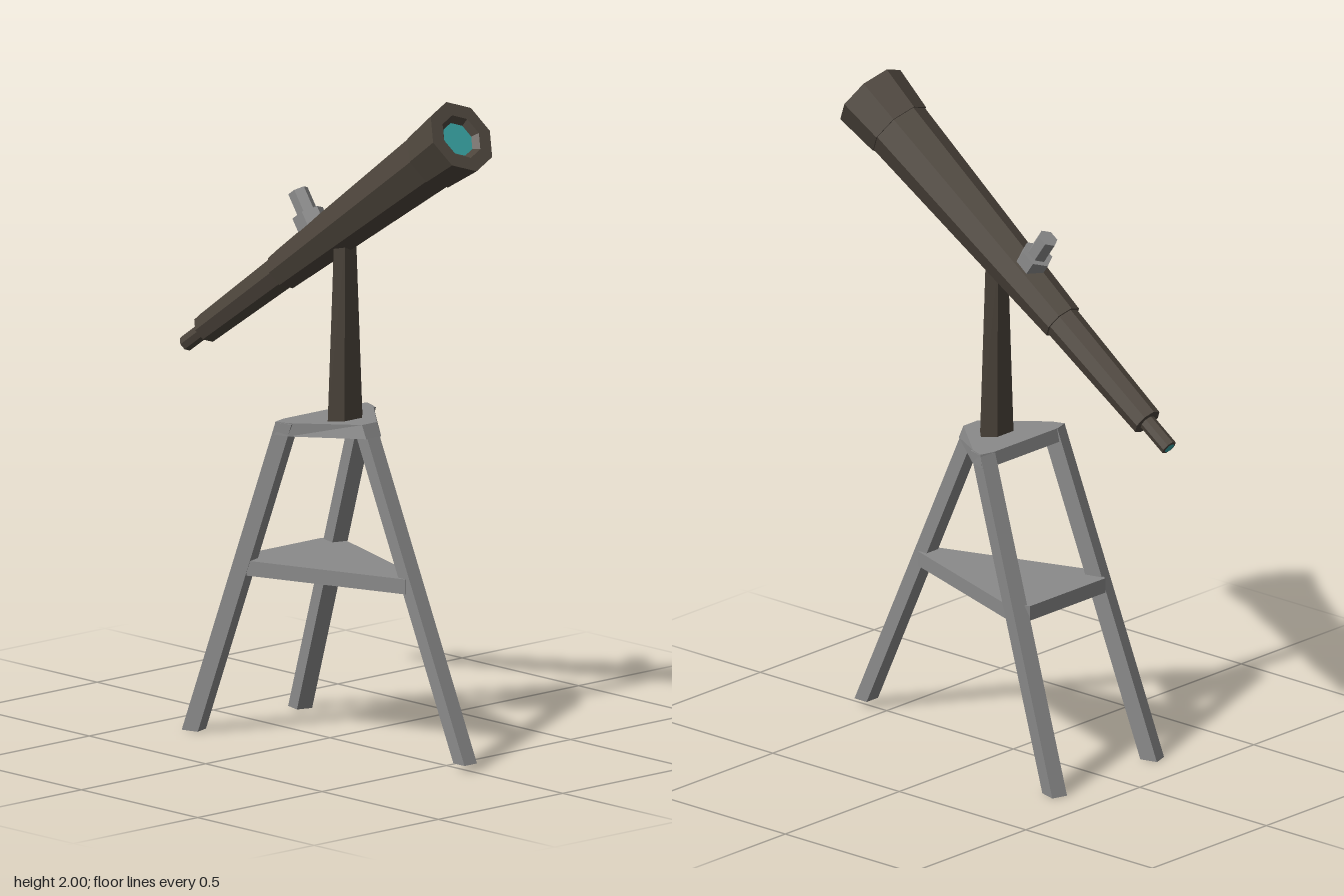
import * as THREE from 'three';

const mat = (name, color, side = THREE.FrontSide) => {
  const m = new THREE.MeshStandardMaterial({ color, side, flatShading: true });
  m.name = name;
  return m;
};

// Solid between two convex rings of [x, z] corners at heights y0 and y1
function loft(ring0, y0, ring1, y1) {
  const n = ring0.length;
  const area = ring0.reduce((s, p, i) => {
    const q = ring0[(i + 1) % n];
    return s + p[0] * q[1] - q[0] * p[1];
  }, 0);
  const order = (r) => (area > 0 ? [...r].reverse() : r);
  const b = order(ring0).map(([x, z]) => [x, y0, z]);
  const t = order(ring1).map(([x, z]) => [x, y1, z]);
  const pos = [];
  const tri = (...c) => c.forEach((p) => pos.push(...p));
  for (let i = 0; i < n; i++) {
    const j = (i + 1) % n;
    tri(b[i], b[j], t[j]);
    tri(b[i], t[j], t[i]);
    if (i > 0 && j > 0) {
      tri(t[0], t[i], t[j]);
      tri(b[0], b[j], b[i]);
    }
  }
  const g = new THREE.BufferGeometry();
  g.setAttribute('position', new THREE.Float32BufferAttribute(pos, 3));
  g.computeVertexNormals();
  return g;
}

const shift = (ring, dx, dz) => ring.map(([x, z]) => [x + dx, z + dz]);
const mirror = (ring) => ring.map(([x, z]) => [-x, z]);
// Full outline from its +x half, listed front to back
const symmetric = (half) => [...half, ...mirror(half).reverse()];

export function createModel() {
  const model = new THREE.Group();
  model.name = 'telescope';
  const brown = mat('dark brown', 0x4d453c);
  const grey = mat('grey metal', 0x8a8a8a);
  const teal = mat('teal glass', 0x37a2a2);

  const add = (parent, name, geometry, material) => {
    const m = new THREE.Mesh(geometry, material);
    m.name = name;
    parent.add(m);
    return m;
  };

  // Tripod legs: slanted prisms
  const foot = [[0.245, -0.375], [0.197, -0.39], [0.183, -0.337], [0.23, -0.322]];
  const hip = shift(foot, -0.06, 0.338);
  add(model, 'leftRearLeg', loft(foot, 0, hip, 0.972), grey);
  add(model, 'rightRearLeg', loft(mirror(foot), 0, mirror(hip), 0.972), grey);
  const frontFoot = [[-0.025, 0.605], [0.025, 0.605], [0.025, 0.557], [-0.025, 0.557]];
  add(model, 'frontLeg', loft(frontFoot, 0.02, shift(frontFoot, 0, -0.434), 0.972), grey);

  // Top platform, slightly wider underneath, and the shelf between the legs
  const plate = symmetric([[0.03, 0.17], [0.17, 0.005], [0.185, -0.037], [0.14, -0.05]]);
  const plateUnder = symmetric([[0.03, 0.188], [0.172, 0.005], [0.187, -0.045], [0.14, -0.058]]);
  add(model, 'platform', loft(plateUnder, 0.935, plate, 0.975), grey);
  const shelf = symmetric([[0.028, 0.352], [0.198, -0.145], [0.165, -0.215]]);
  add(model, 'shelf', loft(shelf, 0.495, shelf, 0.54), grey);

  // Tapered six-sided column
  const hex = (rx, rz) => [...Array(6)].map((_, i) => {
    const a = (i * Math.PI) / 3;
    return [Math.cos(a) * rx, 0.065 + Math.sin(a) * rz];
  });
  add(model, 'column', loft(hex(0.07, 0.04), 0.97, hex(0.045, 0.028), 1.5), brown);

  // Tilted tube assembly: origin at the front rim, local -y runs back, local -z is up
  const tube = new THREE.Group();
  tube.name = 'tubeAssembly';
  tube.position.set(0, 1.905, 0.565);
  tube.rotation.x = Math.atan2(0.822, 0.57);
  model.add(tube);

  const profile = [
    [0, -1.437], [0.025, -1.437], [0.025, -1.332], // eyepiece
    [0.046, -1.332], [0.055, -0.925],              // rear section
    [0.062, -0.925], [0.097, -0.14],               // main section
    [0.101, -0.14], [0.114, 0],                    // hood
    [0.07, 0], [0.053, -0.02],                     // recessed rim
  ].map(([r, y]) => new THREE.Vector2(r, y));
  add(tube, 'tube', new THREE.LatheGeometry(profile, 8), brown);

  // Glass at both ends
  const lens = add(tube, 'frontLens', new THREE.CircleGeometry(0.054, 8), teal);
  lens.rotation.x = -Math.PI / 2;
  lens.position.y = -0.019;
  const eye = add(tube, 'eyepieceLens', new THREE.CircleGeometry(0.018, 8), teal);
  eye.rotation.x = Math.PI / 2;
  eye.position.y = -1.439;

  // Hexagonal adjuster on top of the tube
  for (const [name, r, from, to] of [['adjusterBase', 0.049, 0.05, 0.097], ['adjusterKnob', 0.031, 0.09, 0.17]]) {
    const m = add(tube, name, new THREE.CylinderGeometry(r, r, to - from, 6), grey);
    m.rotation.x = -Math.PI / 2;
    m.position.set(0, -0.737, -(from + to) / 2);
  }
  return model;
}
